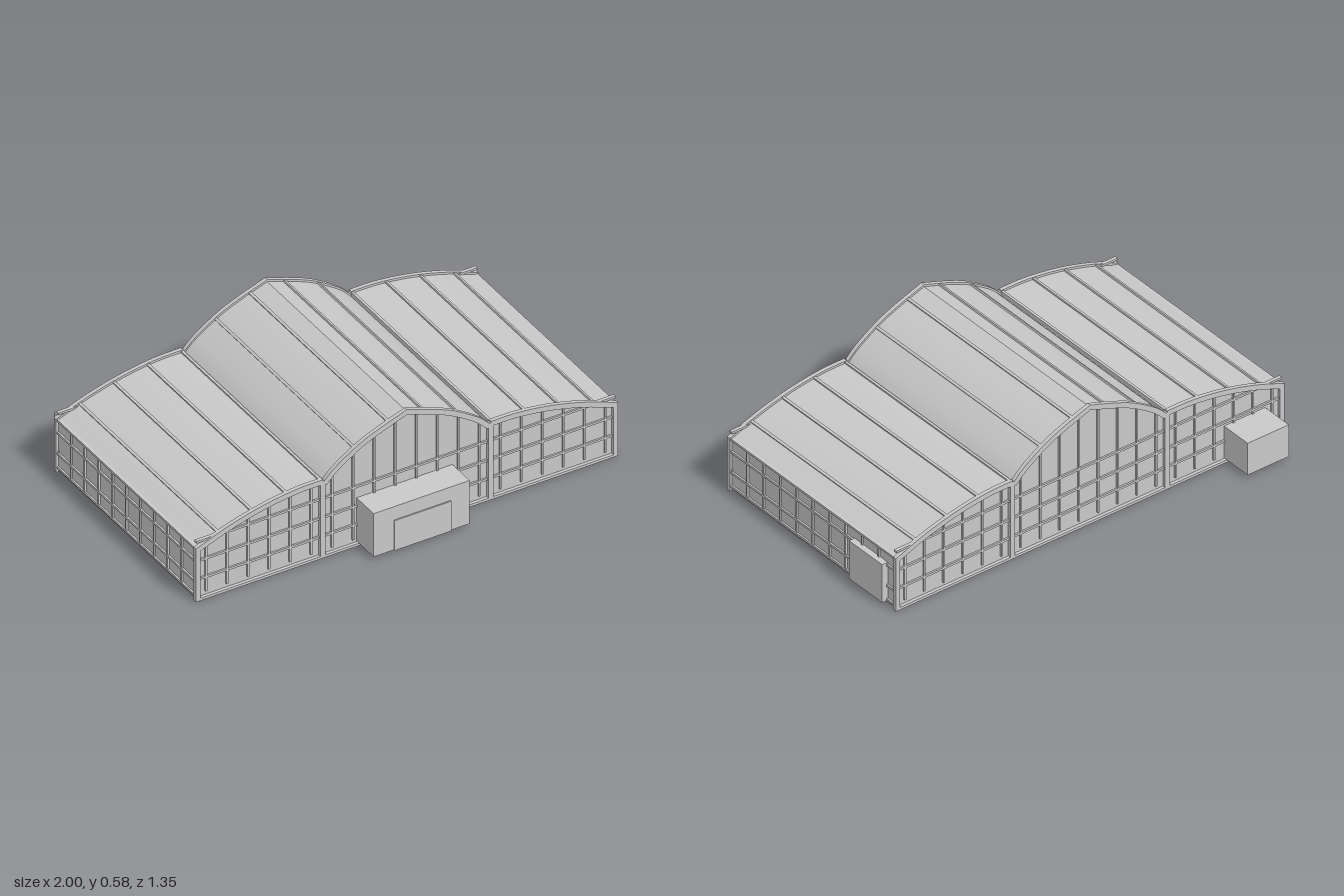
import * as THREE from 'three';
import { toCreasedNormals } from 'three/addons/utils/BufferGeometryUtils.js';

const grey = new THREE.MeshStandardMaterial({ color: 0xc8c8c8 });
grey.name = 'light grey';

const CX = -0.007, CZ = 0.008; // centre of the hall
const HALF_X = 0.99, VALLEY = 0.394, HALF_Z = 0.53, FRAME_Z = 0.545;

// One half of the roof line: central pointed vault, then the low side vault
const curve = (pts, n) =>
  new THREE.SplineCurve(pts.map(([x, y]) => new THREE.Vector2(x, y))).getPoints(n);
const centreArc = curve([[0, 0.58], [0.12, 0.538], [0.21, 0.5], [0.29, 0.453], [0.35, 0.41], [VALLEY, 0.366]], 24);
const sideArc = curve([[VALLEY, 0.381], [0.52, 0.379], [0.68, 0.356], [0.84, 0.314], [HALF_X, 0.258]], 24);

// Roof height and slope at a distance from the middle
function roofAt(dx) {
  const d = Math.abs(dx);
  const arc = d < VALLEY ? centreArc : sideArc;
  let i = 1;
  while (i < arc.length - 1 && arc[i].x < d) i++;
  const a = arc[i - 1], b = arc[i];
  const slope = (b.y - a.y) / (b.x - a.x);
  return { y: a.y + slope * (d - a.x), slope: slope * (dx < 0 ? -1 : 1) };
}

export function createModel() {
  const model = new THREE.Group();
  const hall = new THREE.Group();
  hall.name = 'hall';
  hall.position.set(CX, 0, CZ);
  model.add(hall);

  function add(parent, name, geometry, x = 0, y = 0, z = 0) {
    const mesh = new THREE.Mesh(geometry, grey);
    mesh.name = name;
    mesh.position.set(x, y, z);
    parent.add(mesh);
    return mesh;
  }
  // Box from its limits
  const box = (parent, name, x0, x1, y0, y1, z0, z1) =>
    add(parent, name, new THREE.BoxGeometry(x1 - x0, y1 - y0, z1 - z0),
      (x0 + x1) / 2, (y0 + y1) / 2, (z0 + z1) / 2);
  const extrude = (points, depth) => toCreasedNormals(
    new THREE.ExtrudeGeometry(new THREE.Shape(points), { depth, bevelEnabled: false }), 0.3);

  // Walls, floor and vaulted roof as one solid
  const half = [...centreArc, ...sideArc].map(p => new THREE.Vector2(Math.min(p.x, 0.978), p.y - 0.01));
  const outline = [
    new THREE.Vector2(-0.978, 0.004), new THREE.Vector2(0.978, 0.004),
    ...half.slice().reverse(),
    ...half.slice(1).map(p => new THREE.Vector2(-p.x, p.y)),
  ];
  add(hall, 'hallBody', extrude(outline, HALF_Z * 2), 0, 0, -HALF_Z);

  // Arched bands, posts, sill and glazing bars on both gable ends
  const band = (arc, side) => {
    const inner = arc.map((p, i) => {
      const a = arc[Math.max(i - 1, 0)], b = arc[Math.min(i + 1, arc.length - 1)];
      const t = b.clone().sub(a).normalize();
      return new THREE.Vector2(Math.max(0, p.x + t.y * 0.024), p.y - t.x * 0.024);
    });
    return [...arc, ...inner.reverse()].map(p => new THREE.Vector2(p.x * side, p.y));
  };
  for (const end of [1, -1]) {
    const gable = new THREE.Group();
    gable.name = end > 0 ? 'frontGable' : 'backGable';
    hall.add(gable);
    const z0 = end > 0 ? FRAME_Z - 0.018 : -FRAME_Z;
    const z1 = z0 + 0.018;
    const barZ = [end * HALF_Z - 0.008, end * HALF_Z + 0.008];

    for (const side of [1, -1]) {
      for (const arc of [centreArc, sideArc])
        add(gable, 'archBand', extrude(band(arc, side), 0.018), 0, 0, z0);
      const v = VALLEY * side, c = (HALF_X - 0.011) * side;
      box(gable, 'valleyPost', v - 0.012, v + 0.012, 0, 0.374, z0, z1);
      box(gable, 'cornerPost', c - 0.011, c + 0.011, 0, 0.258, z0, z1);
    }
    box(gable, 'sill', -HALF_X, HALF_X, 0, 0.012, z0, z1);

    for (let i = 0; i < 20; i++) {
      const x = (i - 9.5) * 0.0985;
      box(gable, 'verticalBar', x - 0.004, x + 0.004, 0.03, roofAt(x).y - 0.015, ...barZ);
    }
    for (const y of [0.1, 0.19, 0.283])
      box(gable, 'horizontalBar', -0.982, 0.982, y - 0.005, y + 0.005, ...barZ);
  }

  // Glazing bars on the long side walls
  for (const side of [1, -1]) {
    const x0 = side > 0 ? 0.97 : -0.986, x1 = x0 + 0.016;
    for (let i = 0; i < 9; i++) {
      const z = (i - 4) * 0.106;
      box(hall, 'sideVerticalBar', x0, x1, 0.02, 0.25, z - 0.004, z + 0.004);
    }
    for (const y of [0.022, 0.09, 0.19, 0.25])
      box(hall, 'sideHorizontalBar', x0, x1, y - 0.005, y + 0.005, -HALF_Z, HALF_Z);
  }

  // Standing seams running along the roof, tilted to its slope
  for (let i = 0; i < 12; i++) {
    const x = (i - 5.5) * 0.1595;
    const { y, slope } = roofAt(x);
    const seam = add(hall, 'roofSeam', new THREE.BoxGeometry(0.012, 0.014, HALF_Z * 2), x, y - 0.01, 0);
    seam.rotation.z = Math.atan(slope);
  }

  // Entrance porch with door plate, rear annex and side door
  box(model, 'entrancePorch', -0.235, 0.215, 0.015, 0.225, 0.53, 0.67);
  box(model, 'entranceDoor', -0.14, 0.125, 0.015, 0.16, 0.669, 0.676);
  box(model, 'rearAnnex', -0.91, -0.7, 0.015, 0.17, -0.676, -0.515);
  box(model, 'sideDoor', 0.96, 1.0, 0.015, 0.2, -0.47, -0.255);

  return model;
}
